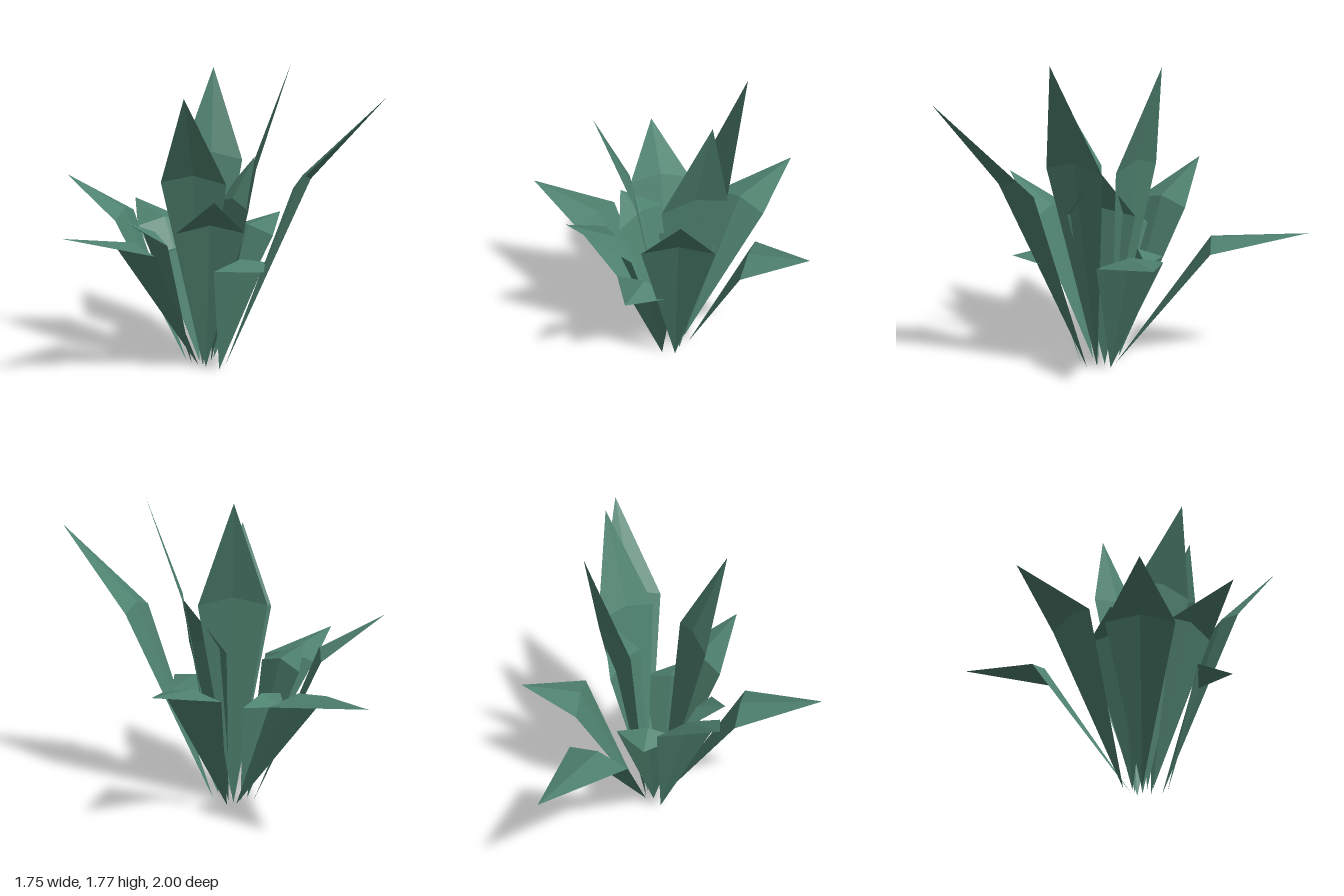
import * as THREE from 'three';

// Each leaf: base [x, z], middle of the bend [x, y, z], tip [x, y, z]
const LEAVES = [
  // low, spreading leaves
  { base: [0.14, -0.02], bend: [0.343, 0.75, -0.52], tip: [0.574, 0.84, -1.0] },
  { base: [0.03, 0.02], bend: [-0.424, 0.775, -0.065], tip: [-0.876, 0.907, -0.143] },
  { base: [0.18, 0.02], bend: [0.52, 0.74, 0.026], tip: [0.87, 0.82, 0.03] },
  { base: [0.05, 0.165], bend: [0.003, 0.665, 0.345], tip: [-0.045, 0.675, 0.538] },
  { base: [0.09, -0.02], bend: [0.103, 0.645, -0.17], tip: [0.117, 0.633, -0.32] },
  // middle leaves
  { base: [0.04, -0.08], bend: [-0.14, 0.89, -0.41], tip: [-0.304, 1.127, -0.73] },
  { base: [0.03, 0.08], bend: [-0.175, 0.875, 0.27], tip: [-0.392, 1.097, 0.468] },
  { base: [0.03, -0.03], bend: [-0.175, 0.785, -0.135], tip: [-0.335, 0.9, -0.213] },
  { base: [0.13, 0.04], bend: [0.25, 0.95, 0.1], tip: [0.39, 1.235, 0.16] },
  // tall, upright leaves
  { base: [0.13, 0.15], bend: [0.264, 1.13, 0.574], tip: [0.394, 1.61, 0.995] },
  { base: [0.04, 0.05], bend: [-0.135, 1.13, 0.118], tip: [-0.315, 1.605, 0.203] },
  { base: [0.14, 0.09], bend: [0.26, 1.205, 0.255], tip: [0.375, 1.775, 0.407] },
  { base: [0.14, 0.0], bend: [0.288, 1.21, -0.09], tip: [0.414, 1.757, -0.176] },
];

const HALF_WIDTH = 0.187;
const RIDGE = 0.045;

// Folded kite: four triangles meeting at a raised point in the bend
function leafGeometry({ base, bend, tip }) {
  const root = new THREE.Vector3(base[0], 0, base[1]);
  const mid = new THREE.Vector3(...bend);
  const end = new THREE.Vector3(...tip);
  const side = new THREE.Vector3(end.z - mid.z, 0, mid.x - end.x).setLength(HALF_WIDTH);
  const left = mid.clone().add(side);
  const right = mid.clone().sub(side);
  const ridge = mid.clone().setY(mid.y + RIDGE);
  const geometry = new THREE.BufferGeometry().setFromPoints([
    root, left, ridge, root, ridge, right,
    ridge, left, end, ridge, end, right,
  ]);
  geometry.computeVertexNormals();
  return geometry;
}

export function createModel() {
  const plant = new THREE.Group();
  plant.name = 'plant';
  const leafGreen = new THREE.MeshStandardMaterial({
    name: 'leafGreen', color: 0x4f8270, flatShading: true, side: THREE.DoubleSide,
  });
  LEAVES.forEach((leaf, i) => {
    const mesh = new THREE.Mesh(leafGeometry(leaf), leafGreen);
    mesh.name = `leaf${i + 1}`;
    plant.add(mesh);
  });
  return plant;
}
